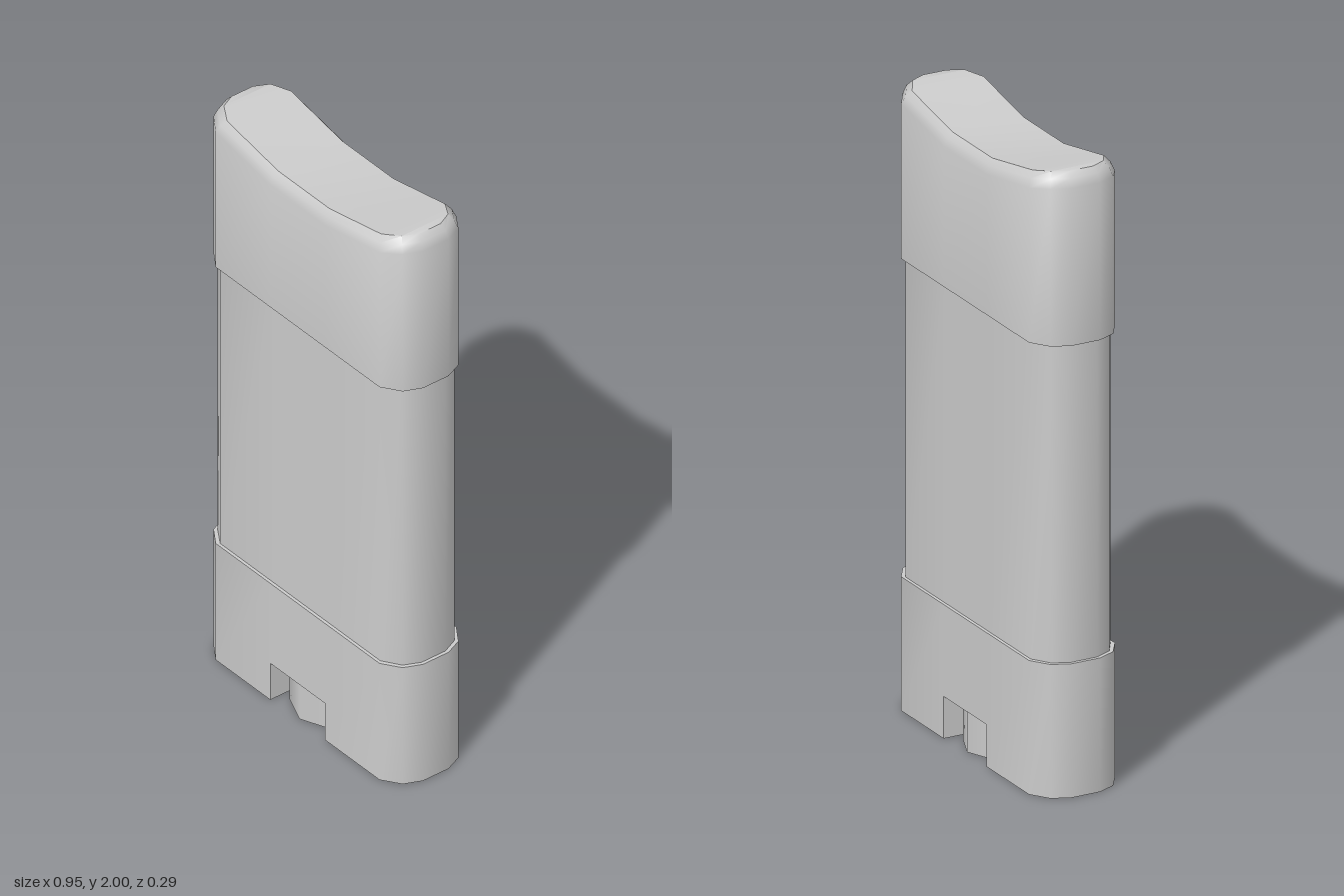
import * as THREE from 'three';
import { toCreasedNormals } from 'three/addons/utils/BufferGeometryUtils.js';

const SLOT = 0.13; // half width of the dial slot and of the flat middle of the cap
const SLOT_TOP = 0.135;

// Right half of the oval outline as columns [x, half depth], mirrored to the left
const half = [[SLOT, 0.147], [0.39, 0.147], [0.45, 0.107], [0.475, 0.049]];
const mirror = (cols) => [...cols.map(([x, z, y]) => [-x, z, y]).reverse(), ...cols];

// Closed solid: each ring maps a column to [x, y, half depth]; ends are closed by front-to-back strips
function loft(cols, rings) {
  const pos = [];
  const tri = (a, b, c) => {
    const area = new THREE.Triangle(a, b, c).getArea();
    if (area > 1e-8) for (const p of [a, b, c]) pos.push(p.x, p.y, p.z);
  };
  const quad = (a, b, c, d) => { tri(a, b, c); tri(a, c, d); };
  const loops = rings.map((ring) => {
    const pts = cols.map((c) => ring(c));
    const front = pts.map(([x, y, z]) => new THREE.Vector3(x, y, z));
    const back = pts.map(([x, y, z]) => new THREE.Vector3(x, y, -z)).reverse();
    return [...front, ...back];
  });
  const n = cols.length * 2;
  for (let r = 0; r + 1 < loops.length; r++) {
    const lo = loops[r], hi = loops[r + 1];
    for (let i = 0; i < n; i++) {
      const j = (i + 1) % n;
      quad(lo[i], lo[j], hi[j], hi[i]);
    }
  }
  const bottom = loops[0], top = loops[loops.length - 1];
  for (let i = 0; i + 1 < cols.length; i++) {
    const bi = n - 1 - i, bj = n - 2 - i;
    quad(top[i], top[i + 1], top[bj], top[bi]);
    quad(bottom[bi], bottom[bj], bottom[i + 1], bottom[i]);
  }
  const geo = new THREE.BufferGeometry();
  geo.setAttribute('position', new THREE.Float32BufferAttribute(pos, 3));
  return toCreasedNormals(geo, THREE.MathUtils.degToRad(45));
}

export function createModel() {
  const group = new THREE.Group();
  group.name = 'deodorantStick';
  const material = new THREE.MeshStandardMaterial({ color: 0xcccccc });
  const add = (name, geometry) => {
    const mesh = new THREE.Mesh(geometry, material);
    mesh.name = name;
    group.add(mesh);
    return mesh;
  };
  const cols = mirror(half);

  // Slightly slimmer middle container
  const slim = (y) => ([x, z]) => [x * 0.977, y, z * 0.93];
  add('container', loft(cols, [slim(0.4), slim(1.5)]));

  // Cap with a dipped top and a rounded rim
  const dip = (x) => 1.945 + 0.055 * THREE.MathUtils.clamp((Math.abs(x) - SLOT) / 0.31, 0, 1);
  const rim = (inset, drop) => ([x, z]) =>
    [x * (1 - 0.06 * inset), dip(x) - drop, z * (1 - 0.17 * inset)];
  add('cap', loft(cols, [
    ([x, z]) => [x, 1.45, z],
    rim(0, 0.045), rim(0.4, 0.018), rim(1, 0),
  ]));

  // Base: the doubled column at the slot edge makes the slot walls
  const baseCols = mirror([[SLOT, 0.147, SLOT_TOP], ...half.map(([x, z]) => [x, z, 0])]);
  add('base', loft(baseCols, [
    ([x, z, y]) => [x, y, z],
    ([x, z]) => [x, 0.43, z],
  ]));

  // Eight-sided turning dial in the slot
  const dial = add('dial', new THREE.CylinderGeometry(0.14, 0.14, 0.14, 8));
  dial.position.y = 0.07;

  return group;
}
